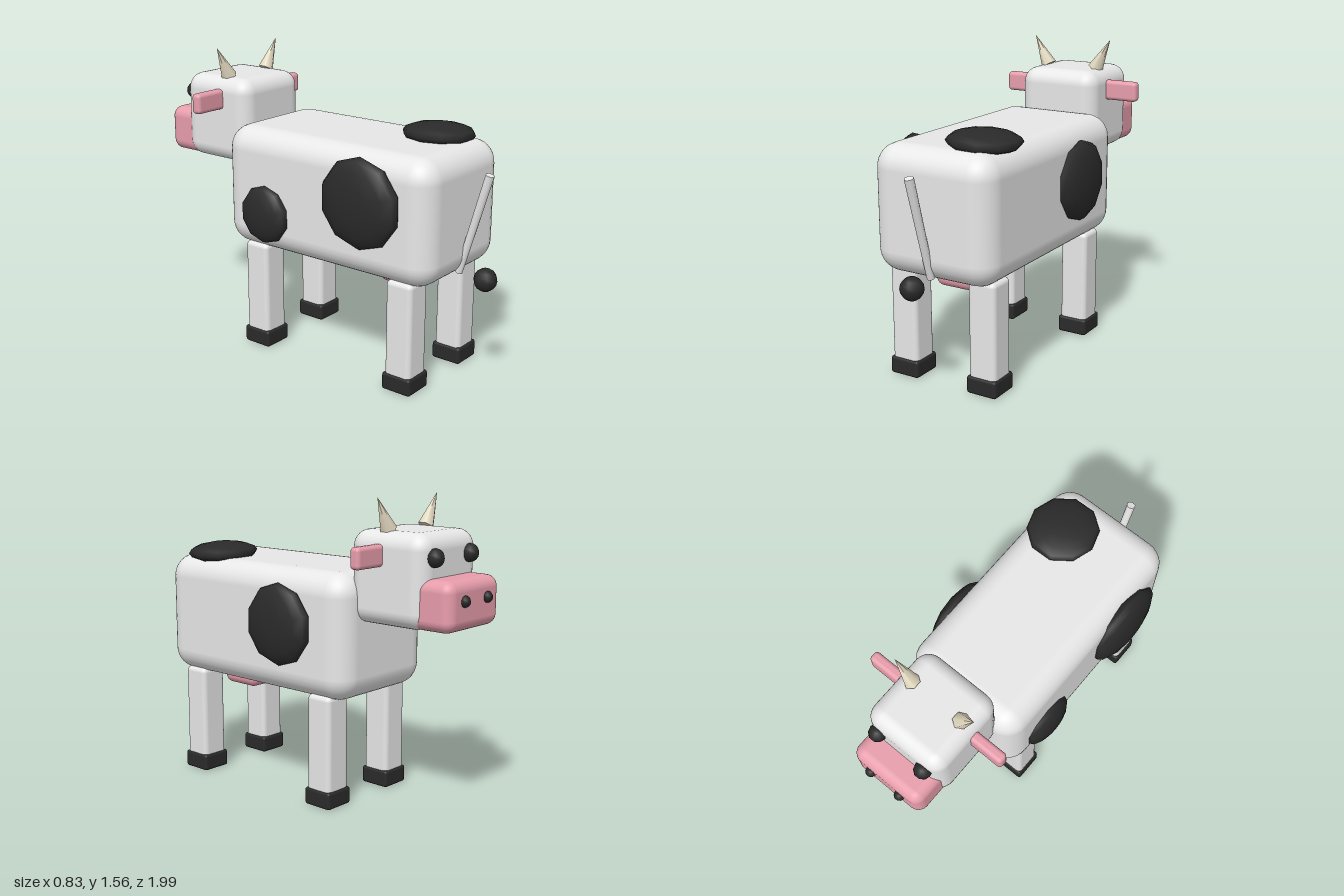
import * as THREE from 'three';
import { RoundedBoxGeometry } from 'three/addons/geometries/RoundedBoxGeometry.js';

function material(name, color) {
  const m = new THREE.MeshStandardMaterial({ color });
  m.name = name;
  return m;
}

export function createModel() {
  const cow = new THREE.Group();
  cow.name = 'cow';
  const hide = material('whiteHide', 0xe8e8e8);
  const pink = material('pinkSkin', 0xf4a6b5);
  const black = material('black', 0x2a2a2a);
  const cream = material('creamHorn', 0xe6dcc3);

  function add(name, geometry, mat, x, y, z) {
    const mesh = new THREE.Mesh(geometry, mat);
    mesh.name = name;
    mesh.position.set(x, y, z);
    cow.add(mesh);
    return mesh;
  }
  const box = (name, mat, w, h, d, r, x, y, z) =>
    add(name, new RoundedBoxGeometry(w, h, d, 4, r), mat, x, y, z);
  const ball = (name, r, x, y, z) =>
    add(name, new THREE.SphereGeometry(r, 10, 8), black, x, y, z);

  // Body, head and udder; the head points to -z
  box('body', hide, 0.67, 0.635, 1.27, 0.12, 0, 0.8725, 0.185);
  box('head', hide, 0.45, 0.45, 0.445, 0.08, 0, 1.175, -0.6075);
  box('muzzle', pink, 0.41, 0.24, 0.24, 0.055, 0, 1.075, -0.85);
  box('udder', pink, 0.22, 0.16, 0.24, 0.045, 0, 0.545, 0.5);

  for (const s of [-1, 1]) {
    const side = s < 0 ? 'right' : 'left';
    // Face
    ball(side + 'Eye', 0.045, s * 0.138, 1.29, -0.835);
    ball(side + 'Nostril', 0.028, s * 0.09, 1.1, -0.97);
    box(side + 'Ear', pink, 0.22, 0.105, 0.056, 0.02, s * 0.29, 1.288, -0.572);
    const horn = add(side + 'Horn', new THREE.ConeGeometry(0.042, 0.18, 6), cream, s * 0.188, 1.478, -0.57);
    horn.rotation.z = -s * 0.5;
    // Legs and hooves
    for (const [end, z] of [['Front', -0.263], ['Back', 0.642]]) {
      box(side + end + 'Leg', hide, 0.15, 0.535, 0.148, 0.025, s * 0.226, 0.3075, z);
      box(side + end + 'Hoof', black, 0.166, 0.09, 0.166, 0.015, s * 0.226, 0.045, z);
    }
  }

  // Tail leaning back, with its tuft
  const tail = add('tail', new THREE.CylinderGeometry(0.023, 0.019, 0.535, 8), hide, 0, 0.833, 0.866);
  tail.rotation.x = 0.28;
  ball('tailTuft', 0.058, 0, 0.572, 0.94);

  // Coat patches: flattened balls, turned so their thin axis faces outward
  const patches = [
    // radius, thickness, position, turn about z
    [0.21, 0.07, 0.343, 0.91, -0.04, -Math.PI / 2],
    [0.23, 0.075, -0.345, 0.94, 0.445, Math.PI / 2],
    [0.152, 0.06, -0.338, 0.762, -0.16, Math.PI / 2],
    [0.185, 0.053, 0.153, 1.207, 0.557, -0.05],
  ];
  for (const [r, t, x, y, z, turn] of patches) {
    const patch = ball('coatPatch', 1, x, y, z);
    patch.scale.set(r, t, r);
    patch.rotation.z = turn;
  }
  return cow;
}
